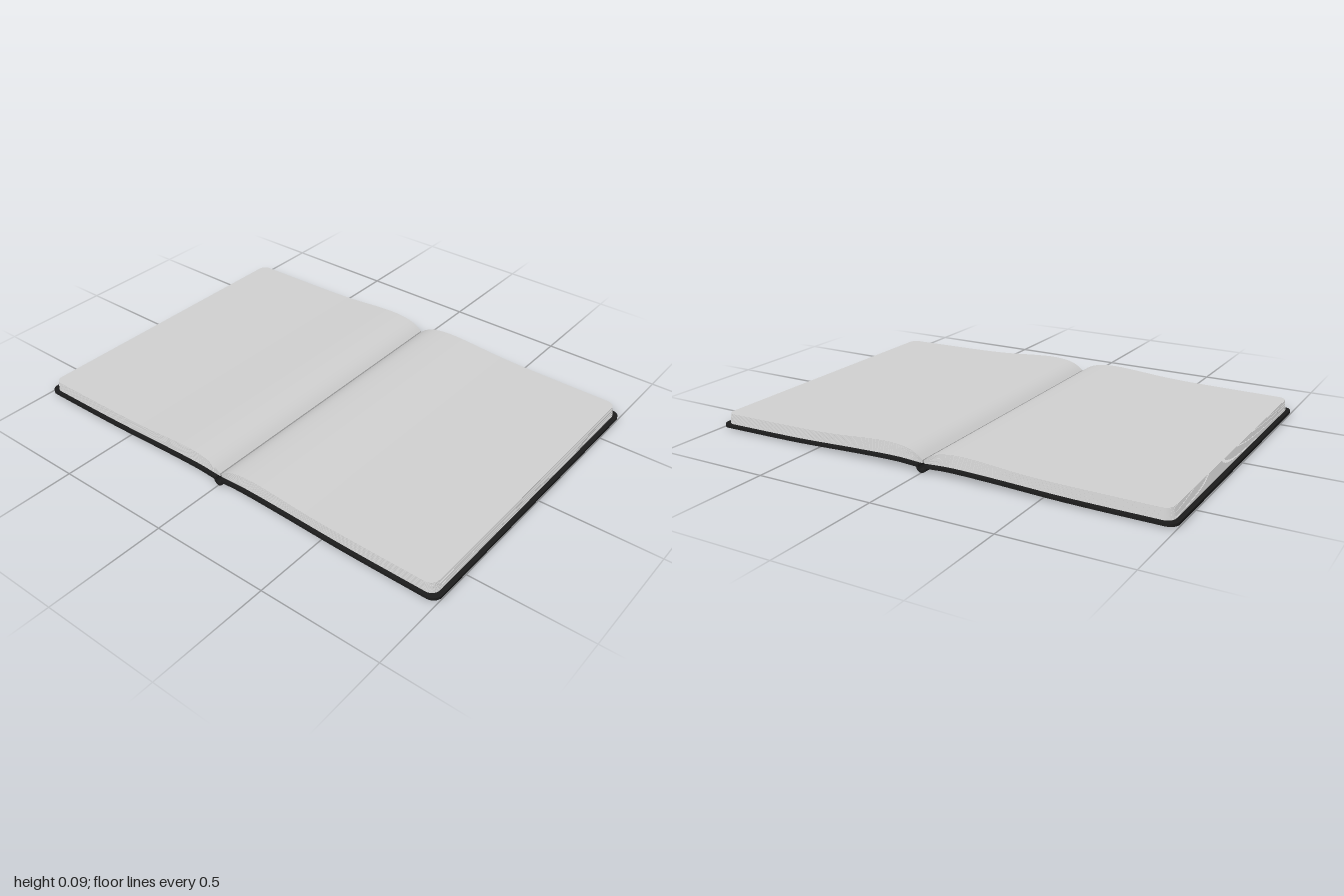
import * as THREE from 'three';
import { toCreasedNormals } from 'three/addons/utils/BufferGeometryUtils.js';

const SHEETS = 13;

// Smooth height profile through a few [x, y] points
function profile(points) {
  const xs = points.map((p) => p[0]);
  const slope = points.map((p, i) => {
    const a = points[Math.max(i - 1, 0)], b = points[Math.min(i + 1, points.length - 1)];
    return (b[1] - a[1]) / (b[0] - a[0]);
  });
  return (x) => {
    let i = 0;
    while (i < xs.length - 2 && x > xs[i + 1]) i++;
    const d = xs[i + 1] - xs[i];
    const t = THREE.MathUtils.clamp((x - xs[i]) / d, 0, 1), t2 = t * t, t3 = t2 * t;
    return (2 * t3 - 3 * t2 + 1) * points[i][1] + (t3 - 2 * t2 + t) * d * slope[i]
      + (3 * t2 - 2 * t3) * points[i + 1][1] + (t3 - t2) * d * slope[i + 1];
  };
}

const pageTop = profile([[0, 0.043], [0.03, 0.065], [0.07, 0.081], [0.15, 0.09], [0.25, 0.086],
  [0.4, 0.074], [0.55, 0.068], [0.99, 0.063]]);
const coverTop = profile([[0, 0.03], [0.03, 0.032], [0.12, 0.036], [0.3, 0.032], [0.6, 0.021], [1, 0.017]]);

// Curved slab from x0 to x1 with rounded outer corners, lofted along x
function slab(x0, x1, halfDepth, radius, top, thickness) {
  const stations = [];
  for (let i = 0; i < 28; i++) stations.push(x0 + (x1 - radius - x0) * Math.pow(i / 28, 1.5));
  for (let i = 0; i <= 7; i++) stations.push(x1 - radius + radius * Math.sin((i / 7) * Math.PI / 2));
  const position = [], index = [];
  const quad = (a, b, c, d) => index.push(a, b, c, a, c, d);
  stations.forEach((x, i) => {
    const dx = Math.max(0, x - (x1 - radius));
    const w = halfDepth - radius + Math.sqrt(Math.max(0, radius * radius - dx * dx));
    const y = top(x);
    position.push(x, y, w, x, y, -w, x, y - thickness, -w, x, y - thickness, w);
    if (i === 0) return;
    const p = (i - 1) * 4, q = i * 4;
    for (let k = 0; k < 4; k++) {
      const n = (k + 1) % 4;
      quad(p + k, q + k, q + n, p + n);
    }
  });
  const e = (stations.length - 1) * 4;
  quad(0, 1, 2, 3);
  quad(e, e + 3, e + 2, e + 1);
  const geometry = new THREE.BufferGeometry();
  geometry.setAttribute('position', new THREE.Float32BufferAttribute(position, 3));
  geometry.setIndex(index);
  return toCreasedNormals(geometry, 0.6);
}

export function createModel() {
  const book = new THREE.Group();
  book.name = 'openNotebook';
  const paper = new THREE.MeshStandardMaterial({ name: 'paper', color: 0xd0d0d0 });
  const leather = new THREE.MeshStandardMaterial({ name: 'black cover', color: 0x1c1c1c });
  const add = (parent, name, geometry, material) => {
    const mesh = new THREE.Mesh(geometry, material);
    mesh.name = name;
    parent.add(mesh);
  };

  // Each half has a cover board and a fanned stack of sheets
  for (const side of ['left', 'right']) {
    const half = new THREE.Group();
    half.name = side + 'Half';
    if (side === 'right') half.rotation.y = Math.PI;
    add(half, 'coverBoard', slab(0.015, 1, 0.686, 0.04, coverTop, 0.011), leather);
    for (let i = 0; i < SHEETS; i++) {
      const t = i / (SHEETS - 1);
      const height = (x) => THREE.MathUtils.lerp(coverTop(x) + 0.004, pageTop(x), t);
      const edge = 0.982 - 0.006 * t;
      add(half, 'sheet' + (i + 1), slab(0.003, edge, 0.671, 0.036, height, 0.0018), paper);
    }
    book.add(half);
  }

  // Hollow spine channel between the boards
  const arc = new THREE.Shape();
  arc.absarc(0, 0, 0.022, Math.PI * 0.9, Math.PI * 2.1, false);
  arc.absarc(0, 0, 0.014, Math.PI * 2.1, Math.PI * 0.9, true);
  const spine = new THREE.ExtrudeGeometry(arc, { depth: 1.372, bevelEnabled: false, curveSegments: 16 });
  spine.translate(0, 0.022, -0.686);
  add(book, 'spine', toCreasedNormals(spine, 0.6), leather);
  return book;
}
